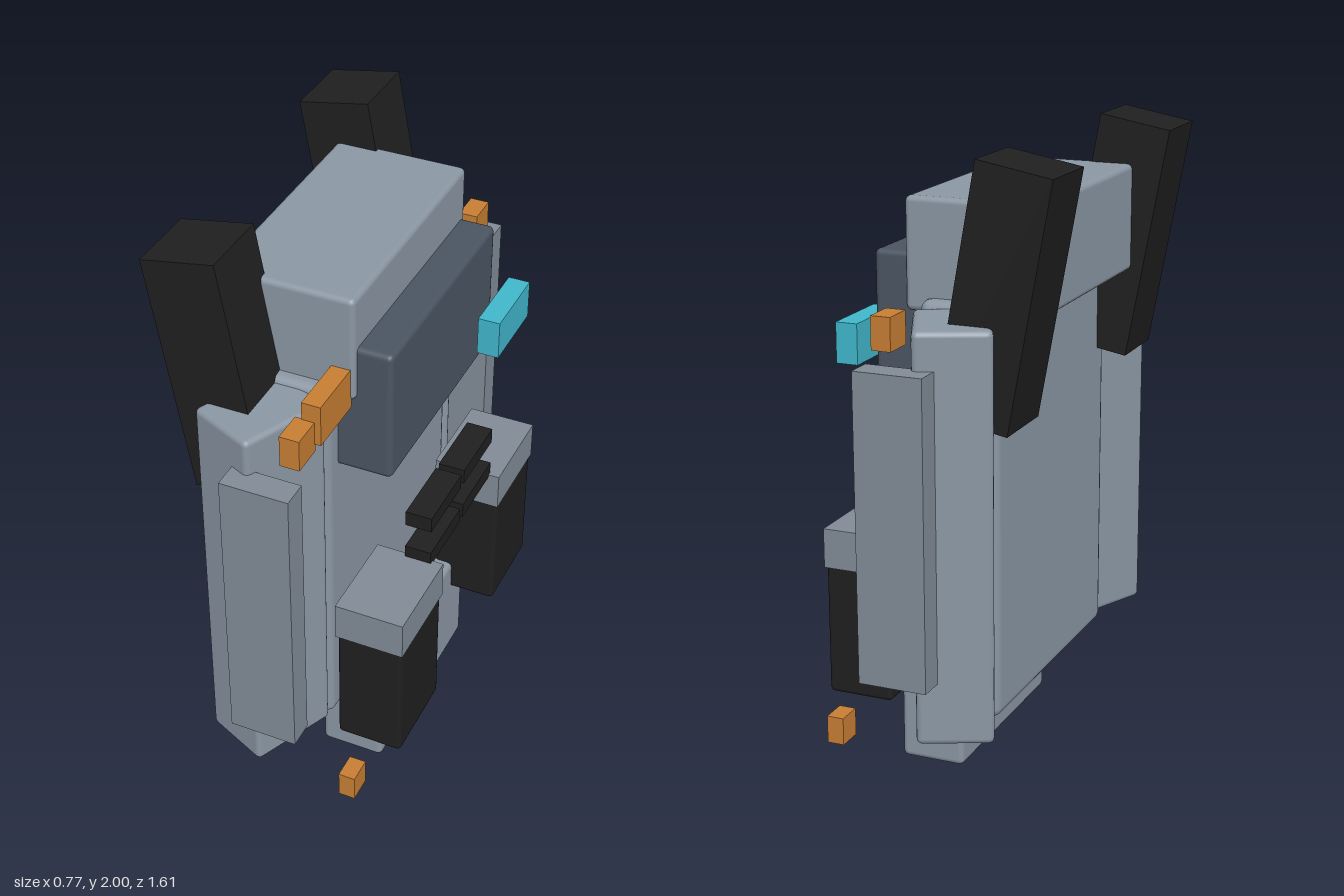
import * as THREE from 'three';
import { RoundedBoxGeometry } from 'three/addons/geometries/RoundedBoxGeometry.js';

const material = (name, color) => {
  const m = new THREE.MeshStandardMaterial({ color });
  m.name = name;
  return m;
};

export function createModel() {
  const group = new THREE.Group();
  const hull = material('hull grey', 0x8a96a3);
  const plate = material('plate grey', 0x808a95);
  const visorBlue = material('visor slate', 0x4a5462);
  const black = material('black', 0x1f1f1f);
  const orange = material('orange', 0xc67d33);
  const cyan = material('cyan', 0x40b6ca);

  // Box from its ranges in x, y and z; a radius above zero rounds the edges
  const box = (name, mat, [x0, x1], [y0, y1], [z0, z1], radius = 0) => {
    const size = [x1 - x0, y1 - y0, z1 - z0];
    const geo = radius ? new RoundedBoxGeometry(...size, 2, radius) : new THREE.BoxGeometry(...size);
    const mesh = new THREE.Mesh(geo, mat);
    mesh.name = name;
    mesh.position.set((x0 + x1) / 2, (y0 + y1) / 2, (z0 + z1) / 2);
    group.add(mesh);
    return mesh;
  };

  // Central body, facing +x
  box('body', hull, [-0.155, 0.1], [0.242, 1.545], [-0.455, 0.455], 0.03);
  box('head', hull, [-0.267, 0.162], [1.5, 1.845], [-0.411, 0.411], 0.018);
  box('base', hull, [0.015, 0.227], [0.003, 0.392], [-0.347, 0.347], 0.018);
  box('visor', visorBlue, [0.08, 0.272], [1.237, 1.675], [-0.392, 0.392], 0.018);

  // Details on one side only
  box('eye', cyan, [0.302, 0.373], [1.327, 1.455], [-0.456, -0.198]);
  box('shoulderBlock', orange, [0.09, 0.15], [1.477, 1.61], [0.405, 0.607]);

  for (const s of [1, -1]) {
    const side = (a, b) => (s > 0 ? [a, b] : [-b, -a]);

    // Side panel, swept back towards its outer edge
    const panel = box('sidePanel', hull, [-0.178, 0.054], [0.262, 1.527], side(0.418, 0.714), 0.018);
    panel.rotation.y = -s * THREE.MathUtils.degToRad(24);
    box('outerPlate', plate, [-0.075, 0.142], [0.46, 1.413], side(0.718, 0.805));

    // Horn, leaning back
    const horn = box('horn', black, [-0.324, -0.088], [1.226, 1.986], side(0.382, 0.62));
    horn.rotation.z = THREE.MathUtils.degToRad(10.3);

    // Leg with cap
    box('leg', black, [0.165, 0.38], [0.285, 0.72], side(0.24, 0.546), 0.015);
    box('legCap', plate, [0.16, 0.384], [0.7, 0.826], side(0.235, 0.55));

    // Vent slats
    for (const y of [0.815, 0.953]) {
      box('vent', black, [0.26, 0.347], [y, y + 0.052], side(0.012, 0.25));
    }

    // Marker lights
    box('upperLight', orange, [0.068, 0.13], [1.45, 1.552], side(0.603, 0.705));
    box('lowerLight', orange, [0.246, 0.3], [0.2, 0.287], side(0.632, 0.715));
  }
  return group;
}
